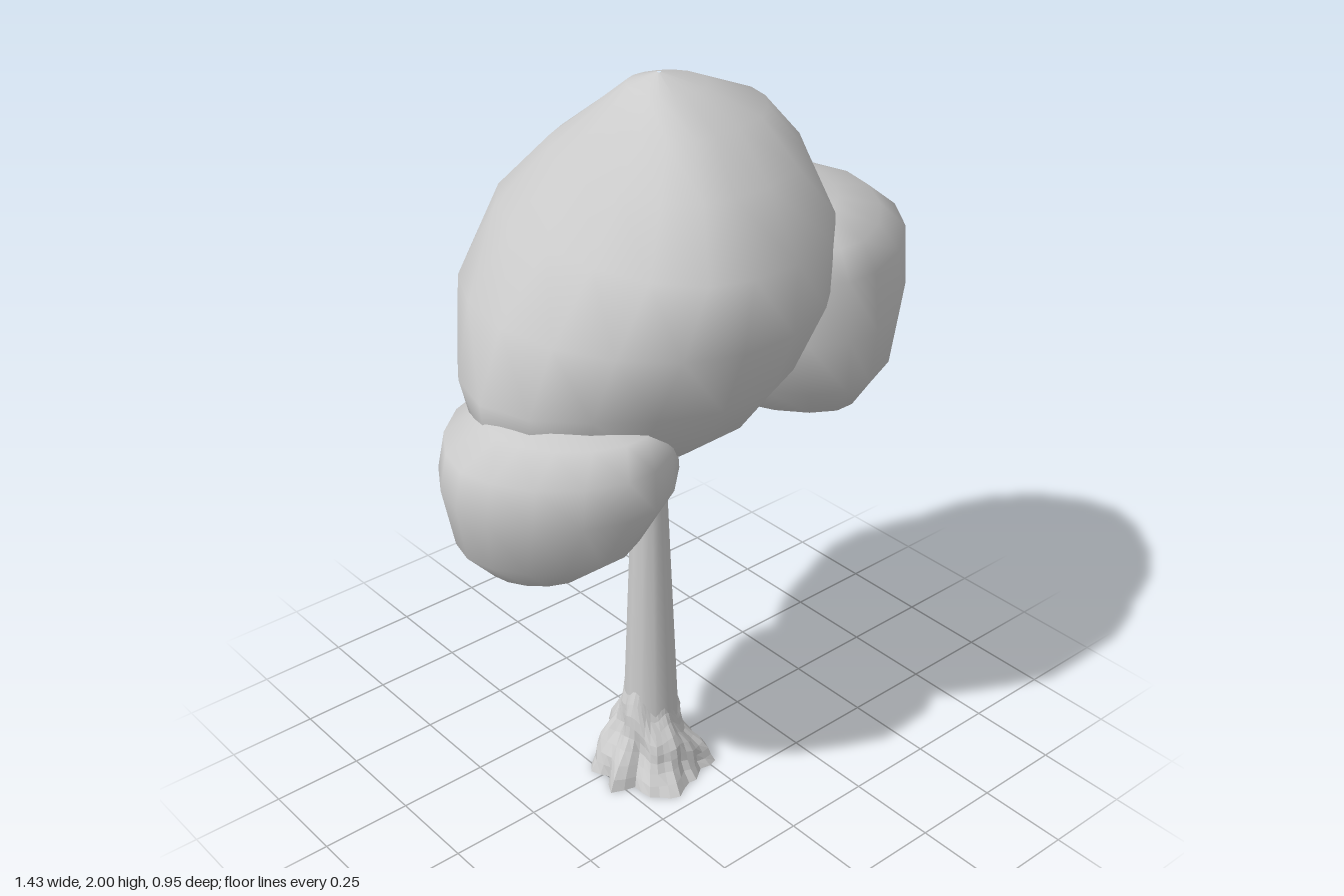
import * as THREE from 'three';

const TRUNK_X = -0.097, TRUNK_Z = 0.018;

// Skin a stack of closed rings, listed from top to bottom
function loft(rows, cols, pointAt) {
  const pos = [], index = [];
  for (let j = 0; j < rows; j++)
    for (let i = 0; i < cols; i++) pos.push(...pointAt(j, (i / cols) * Math.PI * 2, i));
  for (let j = 0; j < rows - 1; j++)
    for (let i = 0; i < cols; i++) {
      const a = j * cols + i, b = j * cols + ((i + 1) % cols);
      index.push(a, b, a + cols, b, b + cols, a + cols);
    }
  const geo = new THREE.BufferGeometry();
  geo.setAttribute('position', new THREE.Float32BufferAttribute(pos, 3));
  geo.setIndex(index);
  geo.computeVertexNormals();
  return geo;
}

// Leaf mass from rows of [y, xMin, xWidest, xMax, zMin, zMax]:
// point > 1 sharpens the outline, skew swells the front right corner
// above y = 1.5 and pulls it in below
function leafMass(rows, point, skew) {
  const shape = (v) => Math.sign(v) * Math.pow(Math.abs(v), point);
  return loft(rows.length, 18, (j, a) => {
    const [y, x0, xm, x1, z0, z1] = rows[j];
    const corner = Math.sin(2 * a) ** 2 * Math.max(0, Math.cos(a - Math.PI * 0.75));
    const swell = 1 + skew * (y - 1.5) * corner;
    const c = shape(Math.cos(a)) * swell, s = shape(Math.sin(a)) * swell;
    return [xm + (c > 0 ? x1 - xm : xm - x0) * c, y, (z0 + z1) / 2 + ((z1 - z0) / 2) * s];
  });
}

const CROWN = [
  [2.0, -0.065, -0.06, -0.055, 0.015, 0.025],
  [1.975, -0.14, -0.06, 0.05, -0.06, 0.13],
  [1.91, -0.2, -0.05, 0.21, -0.15, 0.24],
  [1.8, -0.29, -0.08, 0.31, -0.29, 0.35],
  [1.65, -0.4, -0.1, 0.365, -0.44, 0.465],
  [1.48, -0.53, -0.12, 0.37, -0.48, 0.48],
  [1.3, -0.6, -0.1, 0.28, -0.41, 0.41],
  [1.18, -0.59, -0.1, 0.12, -0.32, 0.33],
  [1.09, -0.48, -0.17, -0.03, -0.21, 0.22],
  [1.04, -0.38, -0.25, -0.15, -0.1, 0.12],
  [1.02, -0.275, -0.27, -0.265, 0.01, 0.02],
];
const LEFT_MASS = [
  [1.665, 0.285, 0.29, 0.295, -0.005, 0.005],
  [1.645, 0.08, 0.26, 0.44, -0.25, 0.27],
  [1.58, 0.01, 0.26, 0.6, -0.35, 0.36],
  [1.5, -0.02, 0.27, 0.71, -0.39, 0.39],
  [1.34, -0.02, 0.27, 0.715, -0.405, 0.405],
  [1.18, 0.04, 0.3, 0.68, -0.35, 0.37],
  [1.07, 0.15, 0.35, 0.58, -0.27, 0.28],
  [1.0, 0.27, 0.38, 0.46, -0.16, 0.13],
  [0.98, 0.395, 0.4, 0.405, -0.005, 0.005],
];
const RIGHT_MASS = [
  [1.27, -0.405, -0.4, -0.395, 0.085, 0.095],
  [1.25, -0.61, -0.37, -0.18, -0.15, 0.31],
  [1.18, -0.7, -0.39, -0.12, -0.25, 0.355],
  [1.08, -0.715, -0.4, -0.11, -0.27, 0.365],
  [0.93, -0.69, -0.43, -0.2, -0.2, 0.29],
  [0.83, -0.6, -0.46, -0.35, -0.12, 0.17],
  [0.79, -0.475, -0.47, -0.465, 0.015, 0.025],
];

// Gnarled root flare: ridged rings that spread toward the ground
function rootFlare() {
  const rows = 9, cols = 44;
  return loft(rows + 1, cols, (j, a, i) => {
    if (j === rows) return [TRUNK_X, 0, TRUNK_Z]; // closes the underside
    const t = j / (rows - 1);
    const c = Math.cos(a), s = Math.sin(a);
    const reach = Math.hypot(c * (c < 0 ? 0.195 : 0.15), s * (s > 0 ? 0.205 : 0.145));
    const height = 0.22 - 0.03 * c - 0.02 * s + 0.02 * Math.sin(a * 5);
    const ridge = 0.7 * Math.sin(a * 7 + 1.5 * Math.sin(a * 2) + t) + 0.3 * Math.sin(a * 13 - t * 4);
    const grit = 0.013 * Math.sin(i * 12.9 + j * 7.3) * Math.sin(t * Math.PI);
    const r = 0.072 + (reach - 0.072) * Math.pow(t, 1.15) * (0.82 + 0.22 * ridge) + grit;
    return [TRUNK_X + r * c, height * (1 - t), TRUNK_Z + r * s];
  });
}

export function createModel() {
  const group = new THREE.Group();
  const smooth = new THREE.MeshStandardMaterial({ color: 0xcccccc });
  const faceted = new THREE.MeshStandardMaterial({ color: 0xcccccc, flatShading: true });
  const add = (name, geo, material = smooth) => {
    const mesh = new THREE.Mesh(geo, material);
    mesh.name = name;
    group.add(mesh);
    return mesh;
  };

  // Foliage
  add('crown', leafMass(CROWN, 1, 0.4));
  add('leftFoliage', leafMass(LEFT_MASS, 1.18, 0));
  add('rightFoliage', leafMass(RIGHT_MASS, 1.13, 0));

  // Trunk and roots
  add('trunk', new THREE.CylinderGeometry(0.042, 0.084, 1.01, 12))
    .position.set(TRUNK_X, 0.507, TRUNK_Z);
  add('roots', rootFlare(), faceted);

  // Two thin branches forking from the trunk top into the foliage
  const forks = {
    leftBranch: [[0.02, 0.99], [0.045, 1.04], [0.1, 1.11], [0.25, 1.18]],
    rightBranch: [[-0.02, 0.99], [-0.04, 1.03], [-0.09, 1.06], [-0.17, 1.12]],
  };
  for (const [name, points] of Object.entries(forks)) {
    const path = new THREE.CatmullRomCurve3(
      points.map(([x, y]) => new THREE.Vector3(TRUNK_X + x, y, TRUNK_Z)));
    add(name, new THREE.TubeGeometry(path, 8, 0.014, 6));
  }

  return group;
}
